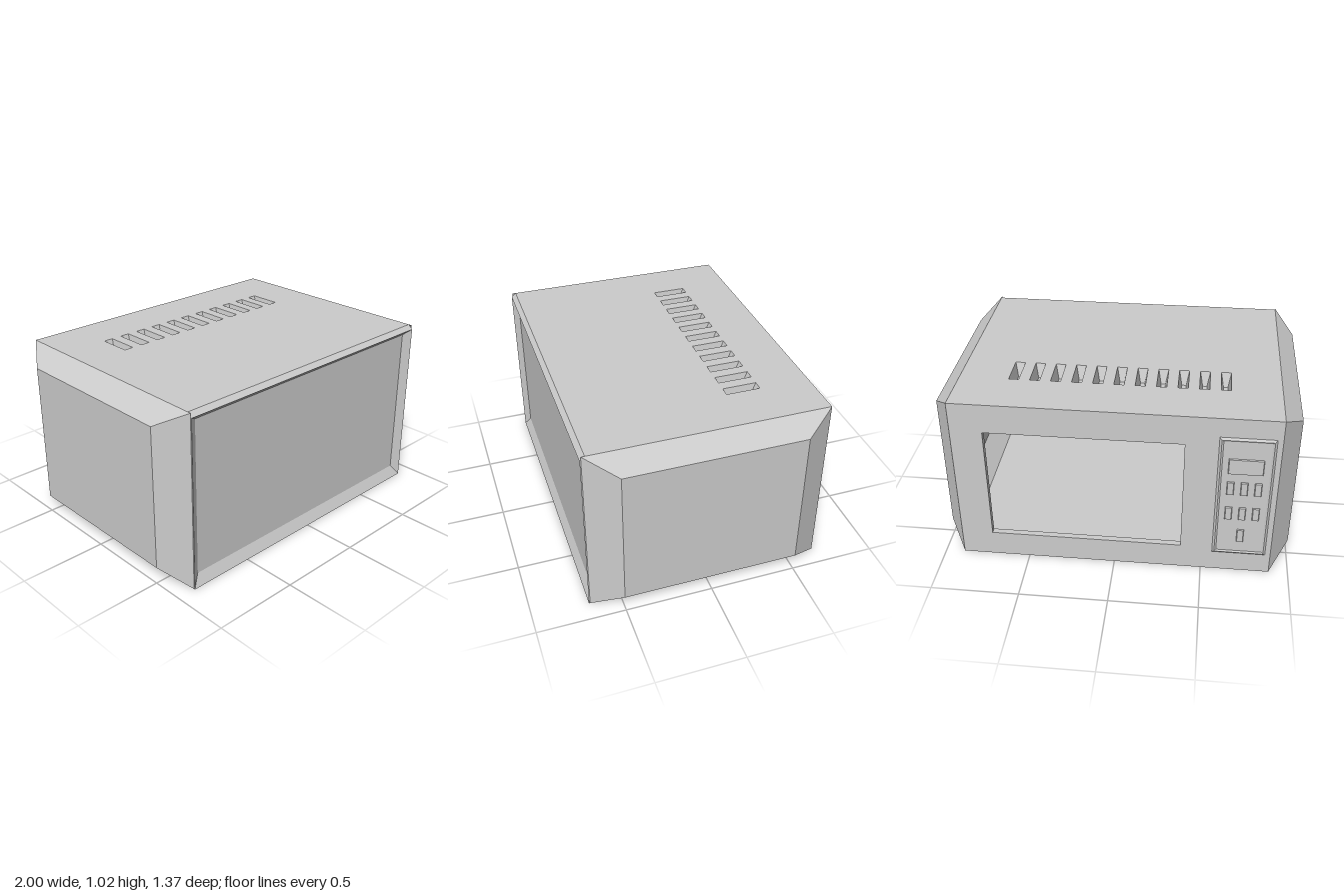
import * as THREE from 'three';

const mat = new THREE.MeshStandardMaterial({ color: 0xcccccc, flatShading: true, side: THREE.DoubleSide });

// Skin through rectangular rings [x0, x1, y0, y1, z], closed by the last ring
function loft(name, rings) {
  const pos = [];
  const corners = ([x0, x1, y0, y1, z]) => [[x0, y0, z], [x1, y0, z], [x1, y1, z], [x0, y1, z]];
  const quad = (a, b, c, d) => pos.push(...a, ...b, ...c, ...a, ...c, ...d);
  const loops = rings.map(corners);
  for (let i = 0; i + 1 < loops.length; i++) {
    for (let k = 0; k < 4; k++) {
      const n = (k + 1) % 4;
      quad(loops[i][k], loops[i][n], loops[i + 1][n], loops[i + 1][k]);
    }
  }
  quad(...loops[loops.length - 1]);
  const geo = new THREE.BufferGeometry();
  geo.setAttribute('position', new THREE.Float32BufferAttribute(pos, 3));
  geo.computeVertexNormals();
  const mesh = new THREE.Mesh(geo, mat);
  mesh.name = name;
  return mesh;
}

function rectPath(Type, x0, x1, y0, y1) {
  return new Type([[x0, y0], [x1, y0], [x1, y1], [x0, y1]].map(p => new THREE.Vector2(...p)));
}

const W = 0.89, H = 1.025, D = 0.675;

export function createModel() {
  const model = new THREE.Group();
  model.name = 'microwaveOven';

  // Flared, chamfered side walls
  for (const s of [1, -1]) {
    const side = loft(s > 0 ? 'leftSide' : 'rightSide', [
      [-D, D, 0, H, W], [-0.505, 0.505, 0.1, 0.93, 1]]);
    side.rotation.y = s * Math.PI / 2;
    model.add(side);
  }

  // Large panel sunk into a bevelled rim
  model.add(loft('recessedPanel', [
    [-W, W, 0, H, 0.655], [-W, W, 0, 1.0, 0.682], [-0.84, 0.84, 0.065, 0.97, 0.65]]));

  // Floor
  const floor = loft('floor', [[-W, W, -D, D, 0]]);
  floor.rotation.x = Math.PI / 2;
  model.add(floor);

  // Top sheet with a row of tapered vent pockets
  const top = new THREE.Group();
  top.name = 'top';
  const sheet = rectPath(THREE.Shape, -W, W, -0.655, D);
  for (let i = 0; i < 11; i++) {
    const x = (i - 5) * 0.117, w = 0.028;
    sheet.holes.push(rectPath(THREE.Path, x - w, x + w, 0.195, 0.388));
    top.add(loft('vent', [
      [x - w, x + w, 0.195, 0.388, 0], [x - 0.012, x + 0.012, 0.222, 0.348, -0.08]]));
  }
  const topSheet = new THREE.Mesh(new THREE.ShapeGeometry(sheet), mat);
  topSheet.name = 'topSheet';
  top.add(topSheet);
  top.rotation.x = -Math.PI / 2;
  top.position.y = H;
  model.add(top);

  // Face with the cooking opening and controls, built facing +z then turned to -z
  const face = new THREE.Group();
  face.name = 'ovenFace';
  const plate = rectPath(THREE.Shape, -W, W, 0, H);
  plate.holes.push(rectPath(THREE.Path, -0.71, 0.38, 0.155, 0.85));
  const frame = new THREE.Mesh(
    new THREE.ExtrudeGeometry(plate, { depth: 0.035, bevelEnabled: false }), mat);
  frame.name = 'doorFrame';
  frame.position.z = D - 0.035;
  face.add(frame);

  // Control panel with a raised rim
  const inset = (d, z) => [0.56 + d, 0.86 - d, 0.125 + d, 0.91 - d, z];
  face.add(loft('controlPanel', [inset(0, D), inset(0.012, 0.685), inset(0.022, 0.679)]));

  // Raised display and buttons
  const pad = (name, x, y, w, h) => face.add(loft(name, [
    [x - w, x + w, y - h, y + h, 0.678], [x - w + 0.004, x + w - 0.004, y - h + 0.004, y + h - 0.004, 0.686]]));
  pad('display', 0.71, 0.73, 0.095, 0.05);
  for (const y of [0.585, 0.415]) {
    for (const x of [0.635, 0.71, 0.785]) pad('button', x, y, 0.02, 0.044);
  }
  pad('startButton', 0.71, 0.26, 0.02, 0.044);
  face.rotation.y = Math.PI;
  model.add(face);

  return model;
}
